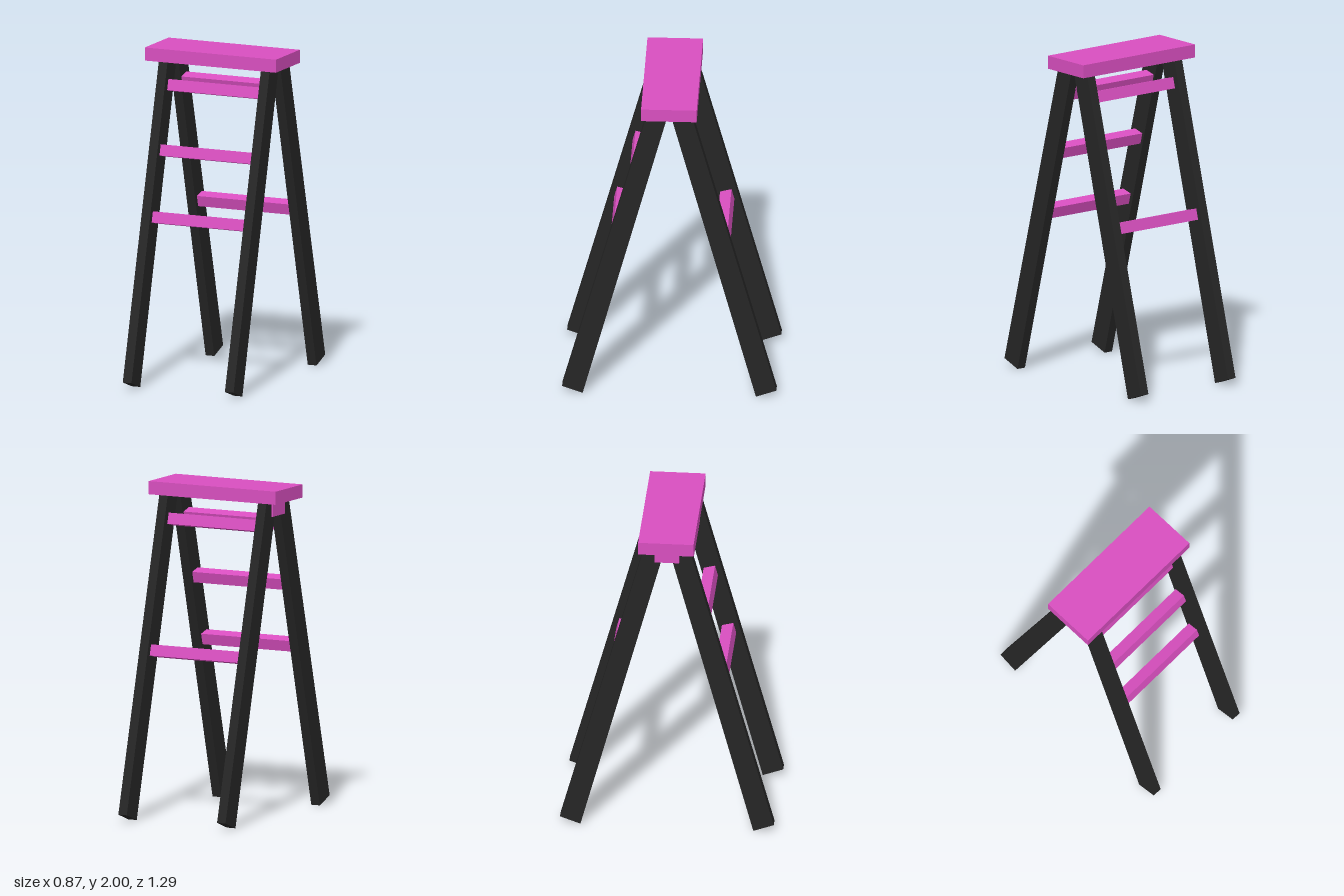
import * as THREE from 'three';

const pink = new THREE.MeshStandardMaterial({ color: 0xd94fc0 });
const dark = new THREE.MeshStandardMaterial({ color: 0x262626 });

const TILT = 0.262; // lean of the legs, about 15 degrees
const LEG_WIDTH = 0.058;
const LEG_X = { right: -0.327, left: 0.35 };

function box(name, size, position, material) {
  const mesh = new THREE.Mesh(new THREE.BoxGeometry(...size), material);
  mesh.name = name;
  mesh.position.set(...position);
  return mesh;
}

// Slanted leg: side outline (z, y) extruded across x; side is +1 front, -1 back
function leg(name, x, side) {
  const outline = new THREE.Shape([
    new THREE.Vector2(0.52, 0),
    new THREE.Vector2(0.643, 0.045),
    new THREE.Vector2(0.134, 1.93),
    new THREE.Vector2(0.009, 1.93),
  ]);
  const geometry = new THREE.ExtrudeGeometry(outline, { depth: LEG_WIDTH, bevelEnabled: false });
  geometry.translate(0, 0, -LEG_WIDTH / 2);
  geometry.rotateY(-side * Math.PI / 2);
  const mesh = new THREE.Mesh(geometry, dark);
  mesh.name = name;
  mesh.position.x = x;
  return mesh;
}

// Rung between a pair of legs, turned to match their lean
function rung(name, y, side) {
  const z = side * (0.3175 - 0.282 * (y - 1));
  const mesh = box(name, [0.63, 0.068, 0.071], [0.0115, y, z], pink);
  mesh.rotation.x = -side * TILT;
  return mesh;
}

export function createModel() {
  const model = new THREE.Group();
  model.name = 'stepladder';

  // Top board
  model.add(box('topBoard', [0.87, 0.08, 0.334], [0, 1.96, 0], pink));

  // Four legs
  for (const [end, side] of [['front', 1], ['back', -1]]) {
    model.add(leg(end + 'RightLeg', LEG_X.right, side));
    model.add(leg(end + 'LeftLeg', LEG_X.left, side));
  }

  // Three rungs in front, two at the back
  for (const y of [1.0, 1.39, 1.77]) model.add(rung('frontRung', y, 1));
  for (const y of [1.0, 1.77]) model.add(rung('backRung', y, -1));

  // Small hinge plate on the outside of the right legs
  model.add(box('hingePlate', [0.012, 0.08, 0.15], [-0.36, 1.87, 0], pink));

  return model;
}
